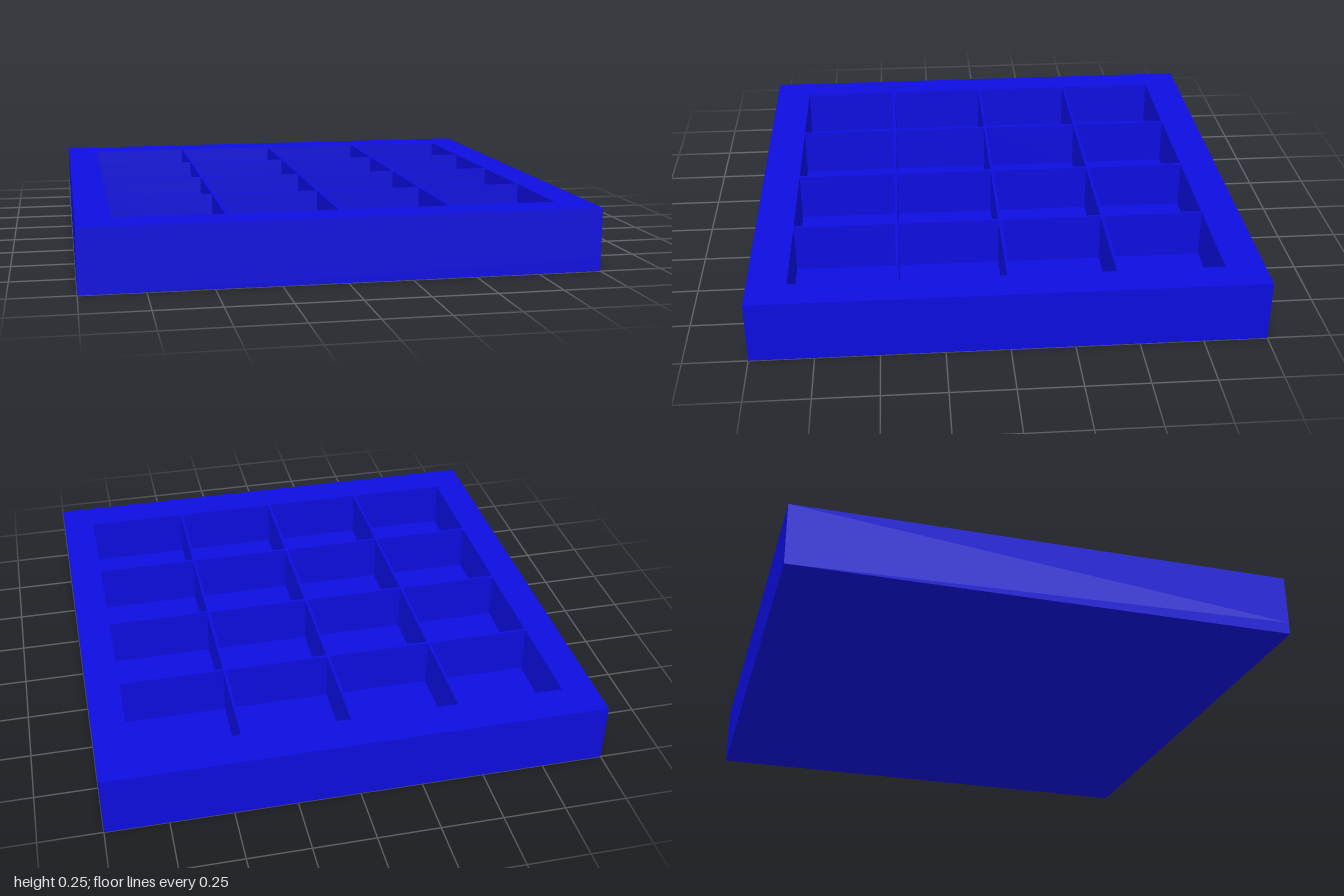
import * as THREE from 'three';

const SIZE = 2, HEIGHT = 0.25, FLOOR = 0.05;
const WELL_X = 1.73, WELL_Z = 1.69; // opening inside the rim
const CELLS = 4, WALL = 0.012;      // compartments per side, divider thickness

// Adds a rectangle, centred on (cx, cy), to a shape or path
function rect(path, cx, cy, w, h) {
  path.moveTo(cx - w / 2, cy - h / 2);
  path.lineTo(cx + w / 2, cy - h / 2);
  path.lineTo(cx + w / 2, cy + h / 2);
  path.lineTo(cx - w / 2, cy + h / 2);
  path.closePath();
  return path;
}

export function createModel() {
  const tray = new THREE.Group();
  tray.name = 'compartmentTray';
  const material = new THREE.MeshStandardMaterial({ color: 0x0d0de0, flatShading: true });

  // Solid floor plate
  const base = new THREE.Mesh(new THREE.BoxGeometry(SIZE, FLOOR, SIZE), material);
  base.name = 'base';
  base.position.y = FLOOR / 2;
  tray.add(base);

  // Wide rim and thin dividers, cut out as a grid of equal compartments
  const outline = rect(new THREE.Shape(), 0, 0, SIZE, SIZE);
  const cellX = (WELL_X - (CELLS - 1) * WALL) / CELLS;
  const cellZ = (WELL_Z - (CELLS - 1) * WALL) / CELLS;
  for (let i = 0; i < CELLS; i++) {
    for (let j = 0; j < CELLS; j++) {
      const cx = (i - (CELLS - 1) / 2) * (cellX + WALL);
      const cz = (j - (CELLS - 1) / 2) * (cellZ + WALL);
      outline.holes.push(rect(new THREE.Path(), cx, cz, cellX, cellZ));
    }
  }
  const walls = new THREE.ExtrudeGeometry(outline, { depth: HEIGHT - FLOOR, bevelEnabled: false });
  walls.rotateX(-Math.PI / 2);
  const frame = new THREE.Mesh(walls, material);
  frame.name = 'rimAndDividers';
  frame.position.y = FLOOR;
  tray.add(frame);

  return tray;
}
